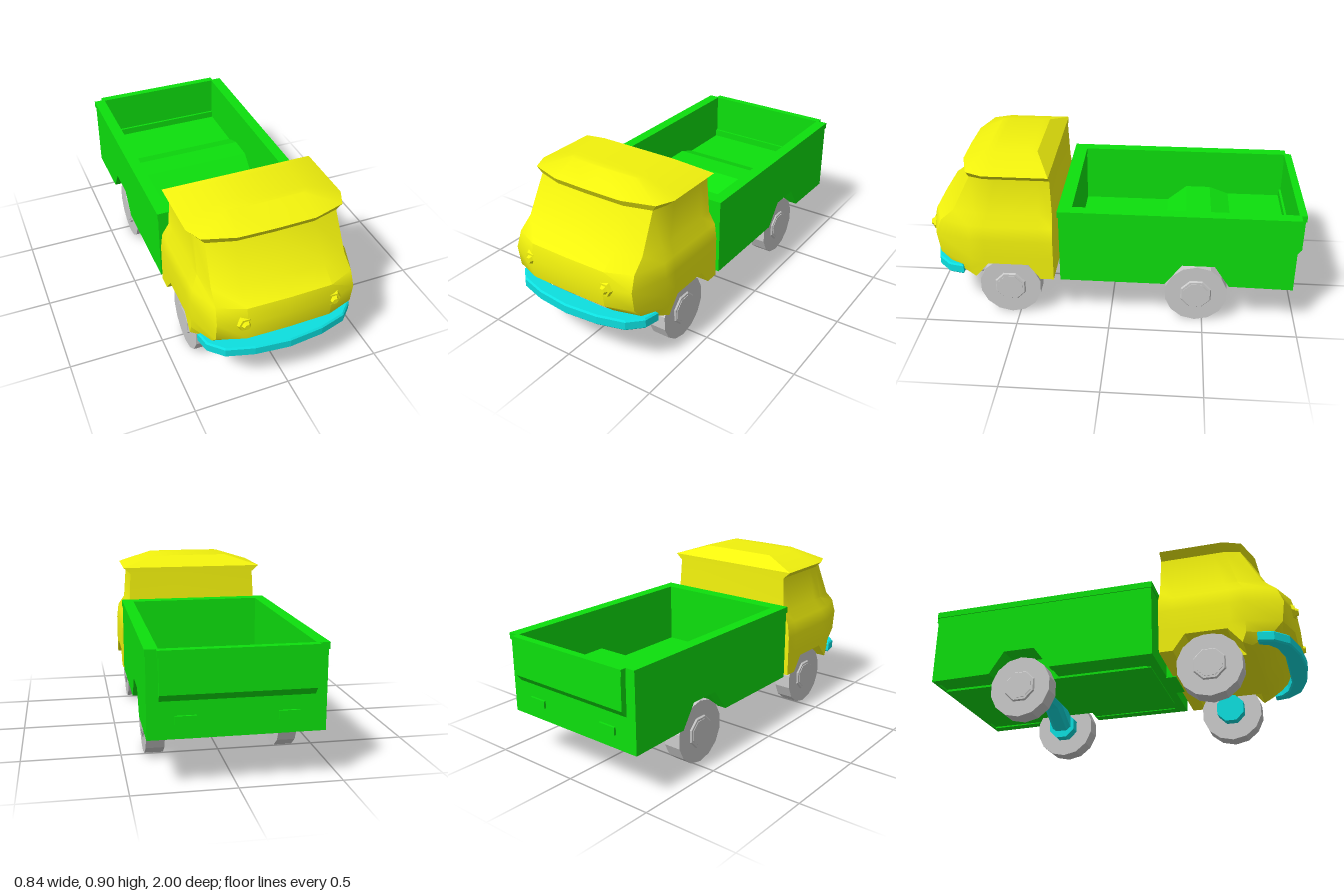
import * as THREE from 'three';
import { toCreasedNormals } from 'three/addons/utils/BufferGeometryUtils.js';

const mat = (color, flatShading = true) => new THREE.MeshStandardMaterial({ color, flatShading });
const YELLOW = mat(0xf2f20d, false), GREEN = mat(0x0de00d), CYAN = mat(0x0de0e0), GREY = mat(0xcccccc);

function add(parent, name, geometry, material, x = 0, y = 0, z = 0) {
  const m = new THREE.Mesh(geometry, material);
  m.name = name;
  m.position.set(x, y, z);
  parent.add(m);
}

// box given by its min and max on each axis
function block(parent, name, material, x0, x1, y0, y1, z0, z1) {
  add(parent, name, new THREE.BoxGeometry(x1 - x0, y1 - y0, z1 - z0), material,
    (x0 + x1) / 2, (y0 + y1) / 2, (z0 + z1) / 2);
}

// extruded outline; a bevel chamfers the edges inside the outline
function extrude(pts, depth, bevel = 0) {
  const shape = new THREE.Shape(pts.map((p) => new THREE.Vector2(...p)));
  const g = new THREE.ExtrudeGeometry(shape, {
    depth: depth - 2 * bevel, bevelEnabled: bevel > 0, bevelSegments: 1,
    bevelSize: bevel, bevelThickness: bevel, bevelOffset: -bevel,
  });
  return g.translate(0, 0, bevel);
}

const flip = (pts) => pts.map(([x, v]) => [-x, v]).reverse();

// side profile of (z, y) points, extruded from x0 to x1
function sideProfile(parent, name, material, pts, x0, x1) {
  const g = extrude(pts, x1 - x0);
  g.rotateY(-Math.PI / 2);
  add(parent, name, g, material, x1);
}

// cab: rings stacked upwards, each running back -> front centre -> back
function cabGeometry() {
  // y, side x, side end z, corner x, corner z, front x, front z, back z
  const rows = [
    [0.245, 0.42, 0.72, 0.37, 0.76, 0.22, 0.78, 0.30],
    [0.30, 0.42, 0.74, 0.36, 0.86, 0.22, 0.90, 0.30],
    [0.36, 0.42, 0.74, 0.36, 0.915, 0.22, 0.962, 0.30],
    [0.47, 0.42, 0.74, 0.36, 0.93, 0.22, 0.977, 0.30],
    [0.55, 0.41, 0.74, 0.355, 0.90, 0.22, 0.957, 0.30],
    [0.61, 0.375, 0.71, 0.35, 0.83, 0.22, 0.87, 0.302],
    [0.805, 0.365, 0.65, 0.34, 0.73, 0.20, 0.77, 0.31],
    [0.84, 0.405, 0.65, 0.365, 0.74, 0.20, 0.79, 0.31],
    [0.90, 0.215, 0.62, 0.21, 0.65, 0.19, 0.66, 0.39],
  ];
  const along = [0, 0.17, 0.32, 0.83, 1];
  const isArch = (j) => j === 2 || j === 3;
  const halfRing = ([y, xs, zs, xc, zc, xf, zf, zb]) => [
    ...along.map((t) => [xs, y, zb + t * (zs - zb)]),
    [xc, y, zc], [xf, y, zf], [0, y, zf + 0.004],
  ];
  const halves = rows.map(halfRing);
  // wheel arches: raised outer edge, arch ceiling, then the inner wall
  halves[0].forEach((p, j) => { if (isArch(j)) p[1] = 0.33; });
  halves[1].forEach((p, j) => { if (isArch(j)) p[1] = 0.34; });
  const ceiling = halves[0].map(([x, y, z]) => [Math.min(x, 0.27), y, z]);
  const floor = ceiling.map(([x, , z]) => [x, 0.245, z]);
  halves.unshift(floor, ceiling);

  const pos = [], idx = [], n = 15;
  for (const h of halves) {
    const ring = [...h, ...h.slice(0, 7).reverse().map(([x, y, z]) => [-x, y, z])];
    ring.forEach((p) => pos.push(...p));
  }
  const quad = (a, b, c, d) => idx.push(a, b, c, a, c, d);
  for (let i = 0; i < halves.length - 1; i++) {
    for (let j = 0; j < n; j++) {
      const k = (j + 1) % n, a = i * n, b = a + n;
      quad(a + j, b + j, b + k, a + k);
    }
  }
  const top = (halves.length - 1) * n;
  for (let j = 0; j < 6; j++) {
    quad(j, j + 1, 13 - j, 14 - j);
    quad(top + j, top + 14 - j, top + 13 - j, top + j + 1);
  }
  idx.push(6, 7, 8, top + 6, top + 8, top + 7);
  const g = new THREE.BufferGeometry();
  g.setAttribute('position', new THREE.Float32BufferAttribute(pos, 3));
  g.setIndex(idx);
  return toCreasedNormals(g, 0.62);
}

function buildCab(root) {
  const cab = new THREE.Group();
  cab.name = 'cab';
  root.add(cab);
  add(cab, 'cabShell', cabGeometry(), YELLOW);

  // headlights: wide base ring and a tapered lamp
  for (const s of [-1, 1]) {
    const lamp = (name, r0, r1, len, z) => {
      const g = new THREE.CylinderGeometry(r0, r1, len, 6);
      g.rotateY(Math.PI / 6);
      g.rotateX(Math.PI / 2);
      add(cab, name, toCreasedNormals(g, 0.5), YELLOW, s * 0.23, 0.465, z);
    };
    lamp('headlightRing', 0.036, 0.047, 0.02, 0.963);
    lamp('headlight', 0.016, 0.031, 0.03, 0.975);
  }

  // wrap-around bumper
  const outer = [[0.407, 0.79], [0.39, 0.87], [0.32, 0.94], [0.18, 0.98]];
  const inner = [[0.17, 0.90], [0.29, 0.87], [0.345, 0.83], [0.36, 0.79]];
  const g = extrude([...outer, [0, 0.998], ...flip(outer), ...flip(inner), ...inner], 0.057, 0.008);
  g.rotateX(Math.PI / 2);
  add(cab, 'bumper', g, CYAN, 0, 0.302, 0);
}

function buildBed(root) {
  const bed = new THREE.Group();
  bed.name = 'cargoBed';
  root.add(bed);
  const arch = [[-0.63, 0.245], [-0.55, 0.365], [-0.38, 0.365], [-0.29, 0.245]];
  // load floor with the raised hump over the rear axle
  const deck = [[0.22, 0.335], [-0.29, 0.335], [-0.40, 0.43], [-0.54, 0.43], [-0.65, 0.39], [-0.96, 0.39]];
  sideProfile(bed, 'loadFloor', GREEN, [[-0.96, 0.238], [0.22, 0.238], ...deck], -0.27, 0.27);

  for (const s of [-1, 1]) {
    const span = (a, b) => (s > 0 ? [a, b] : [-b, -a]);
    sideProfile(bed, 'floorEdge', GREEN,
      [[-0.96, 0.25], [-0.63, 0.25], ...arch.slice(1, 3), [-0.29, 0.25], [0.22, 0.25], ...deck],
      ...span(0.27, 0.365));
    sideProfile(bed, 'sideWall', GREEN,
      [[-0.964, 0.24], ...arch, [0.265, 0.245], [0.265, 0.64], [-0.964, 0.64]], ...span(0.362, 0.417));
    block(bed, 'sideRim', GREEN, ...span(0.36, 0.422), 0.627, 0.66, -0.97, 0.27);
    block(bed, 'rearPlate', GREEN, ...span(0.19, 0.29), 0.31, 0.35, -0.975, -0.955);
  }

  block(bed, 'frontWall', GREEN, -0.415, 0.415, 0.245, 0.64, 0.2, 0.265);
  block(bed, 'frontRim', GREEN, -0.36, 0.36, 0.627, 0.66, 0.198, 0.27);
  block(bed, 'rearPanel', GREEN, -0.365, 0.365, 0.24, 0.43, -0.964, -0.95);
  sideProfile(bed, 'tailgate', GREEN,
    [[-0.963, 0.42], [-0.967, 0.42], [-0.995, 0.455], [-0.995, 0.64], [-0.963, 0.64]], -0.362, 0.362);
  block(bed, 'tailgateRim', GREEN, -0.37, 0.37, 0.627, 0.66, -1, -0.96);

  // link between bed and cab
  sideProfile(bed, 'cabLink', GREEN,
    [[0.26, 0.24], [0.315, 0.24], [0.315, 0.39], [0.26, 0.43]], -0.11, 0.11);
}

function buildWheels(root) {
  const disc = (parent, name, r0, r1, len, sides, material, x, s) => {
    const g = new THREE.CylinderGeometry(r0, r1, len, sides);
    g.rotateY(Math.PI / sides);
    g.rotateZ(-s * Math.PI / 2);
    add(parent, name, g, material, s * x);
  };
  for (const [label, z] of [['front', 0.545], ['rear', -0.46]]) {
    for (const s of [-1, 1]) {
      const wheel = new THREE.Group();
      wheel.name = label + 'Wheel';
      wheel.position.set(0, 0.167, z);
      root.add(wheel);
      disc(wheel, 'tyre', 0.168, 0.168, 0.094, 14, GREY, 0.337, s);
      disc(wheel, 'hubRim', 0.082, 0.092, 0.012, 8, GREY, 0.386, s);
      disc(wheel, 'hubCap', 0.07, 0.07, 0.01, 8, GREY, 0.39, s);
      disc(wheel, 'axleStub', 0.08, 0.08, 0.07, 8, CYAN, 0.268, s);
    }
  }
  // cranked rear axle beam
  const upper = [[0.27, 0.222], [0.13, 0.29]], lower = [[0.08, 0.213], [0.27, 0.112]];
  add(root, 'rearAxle', extrude([...upper, ...flip(upper), ...flip(lower), ...lower], 0.11, 0.022),
    CYAN, 0, 0, -0.515);
}

export function createModel() {
  const root = new THREE.Group();
  root.name = 'pickupTruck';
  buildCab(root);
  buildBed(root);
  buildWheels(root);
  return root;
}
